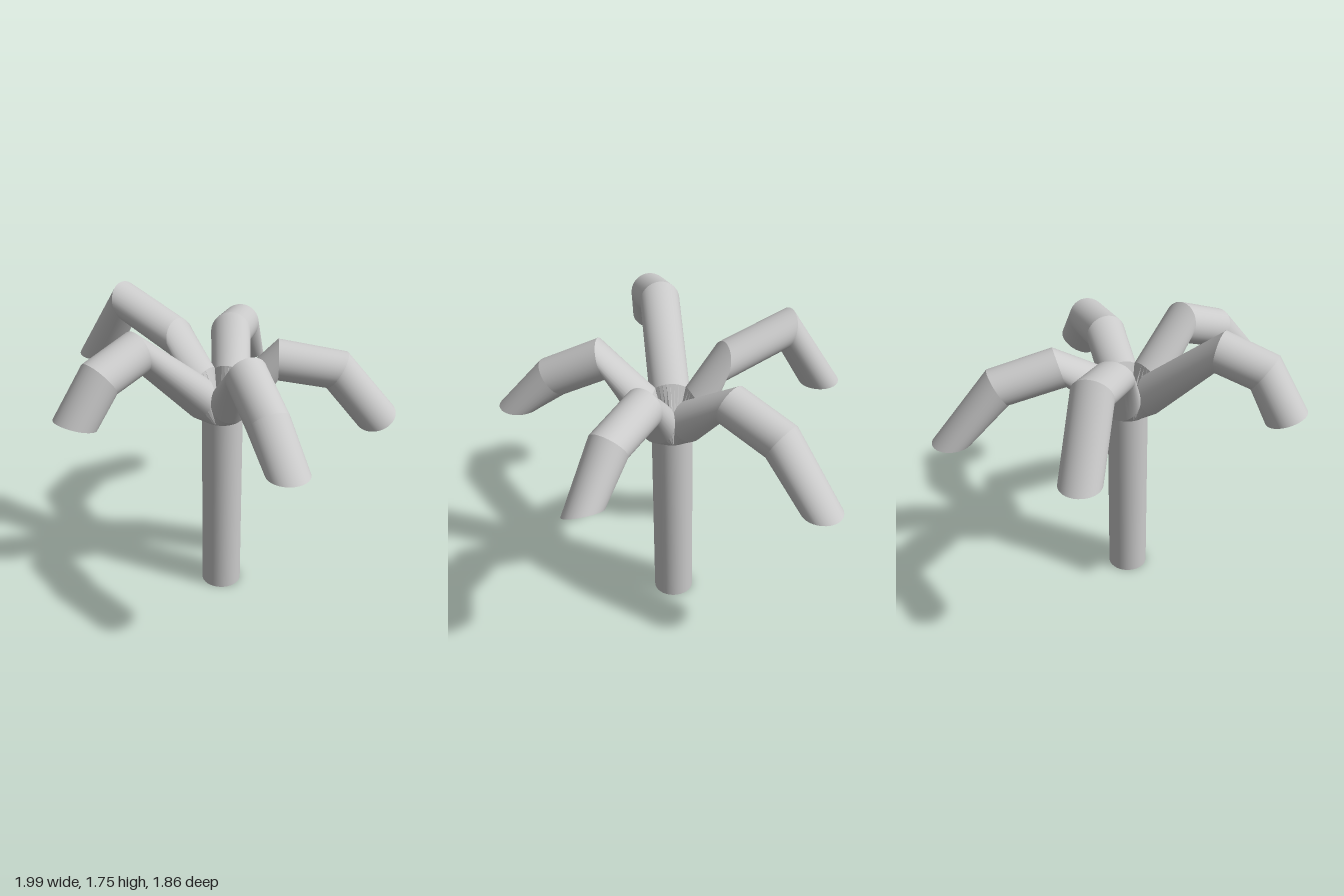
import * as THREE from 'three';

const R = 0.113, SIDES = 32, HEIGHT = 1.1, CX = 0.01, CZ = 0.09;
const material = new THREE.MeshStandardMaterial({ color: 0xcccccc });
const flatMaterial = new THREE.MeshStandardMaterial({ color: 0xcccccc, flatShading: true, side: THREE.DoubleSide });

// Circle of radius R: centre, tilt (outward, upward) in the branch plane, sideways slope
function ring(azimuth, [x, y, z, out, rise, slope = 0]) {
  const ox = Math.cos(azimuth), oz = Math.sin(azimuth);
  const up = new THREE.Vector3(ox * out, rise, oz * out).normalize();
  const side = new THREE.Vector3(-oz, slope, ox);
  side.addScaledVector(up, -side.dot(up)).normalize();
  return Array.from({ length: SIDES }, (_, i) => {
    const t = (i / SIDES) * Math.PI * 2;
    return new THREE.Vector3(x, y, z)
      .addScaledVector(up, R * Math.cos(t))
      .addScaledVector(side, R * Math.sin(t));
  });
}

// Pie slice of the trunk top, ordered to match a ring
function slice(azimuth) {
  return Array.from({ length: SIDES }, (_, i) => {
    const t = (i / SIDES) * Math.PI * 2, s = Math.sin(t);
    const lower = Math.cos(t) < 0;
    const a = azimuth + (Math.PI / 5) * (lower ? s : Math.sign(s));
    const r = lower ? R : R * Math.abs(s);
    return new THREE.Vector3(CX + r * Math.cos(a), HEIGHT, CZ + r * Math.sin(a));
  });
}

// Skin between two loops of points
function bridge(a, b, mat, name) {
  const index = [];
  for (let i = 0; i < SIDES; i++) {
    const j = (i + 1) % SIDES;
    index.push(i, j, SIDES + i, j, SIDES + j, SIDES + i);
  }
  const g = new THREE.BufferGeometry().setFromPoints([...a, ...b]);
  g.setIndex(index);
  g.computeVertexNormals();
  const mesh = new THREE.Mesh(g, mat);
  mesh.name = name;
  return mesh;
}

// Flat disc closing the end of a branch
function endCap(loop) {
  const index = [];
  for (let i = 1; i < SIDES - 1; i++) index.push(0, i, i + 1);
  const g = new THREE.BufferGeometry().setFromPoints(loop);
  g.setIndex(index);
  g.computeVertexNormals();
  const mesh = new THREE.Mesh(g, material);
  mesh.name = 'branchEnd';
  return mesh;
}

// Each branch: azimuth of its base, azimuth further out, then its rings
const branches = [
  { name: 'backBranch', base: -90, aim: -90, rings: [
    [0.005, 1.49, -0.2, 0.05, 0.2], [0.005, 1.615, -0.585, 0.07, 0.21], [0.005, 1.24, -0.815, 1, 0]] },
  { name: 'leftBranch', base: -18, aim: -28, rings: [
    [0.34, 1.44, -0.1, 0.03, 0.11], [0.64, 1.355, -0.25, 0.055, 0.1], [0.88, 1.045, -0.375, 1, -0.03]] },
  { name: 'frontLeftBranch', base: 54, aim: 54, rings: [
    [0.2, 1.44, 0.32, 0, 1], [0.385, 1.385, 0.58, 0.06, 0.1], [0.51, 1.115, 0.77, 1, 0.33, -0.44]] },
  { name: 'frontRightBranch', base: 126, aim: 120, rings: [
    [-0.21, 1.53, 0.4, 0.03, 0.11], [-0.355, 1.395, 0.64, 0.07, 0.09], [-0.44, 1.21, 0.82, 1, 0]] },
  { name: 'rightBranch', base: 198, aim: 189, rings: [
    [-0.52, 1.64, -0.055, 0.02, 0.22], [-0.76, 1.575, -0.09, 0.115, 0.175], [-0.895, 1.36, -0.145, 0.105, 0.04]] },
];

export function createModel() {
  const model = new THREE.Group();
  model.name = 'branchingStand';

  const trunk = new THREE.Mesh(new THREE.CylinderGeometry(R, R, HEIGHT, SIDES), material);
  trunk.name = 'trunk';
  trunk.position.set(CX, HEIGHT / 2, CZ);
  model.add(trunk);

  for (const { name, base, aim, rings } of branches) {
    const branch = new THREE.Group();
    branch.name = name;
    const a0 = THREE.MathUtils.degToRad(base), a1 = THREE.MathUtils.degToRad(aim);
    // Base ring leans inward; neighbouring base rings just touch
    const root = ring(a0, [CX + 0.15 * Math.cos(a0), 1.26, CZ + 0.15 * Math.sin(a0), -0.05, 0.1]);
    const loops = [root, ...rings.map((r) => ring(a1, r))];
    branch.add(bridge(slice(a0), root, flatMaterial, 'branchRoot'));
    for (let i = 0; i + 1 < loops.length; i++) {
      branch.add(bridge(loops[i], loops[i + 1], material, 'branchSegment'));
    }
    branch.add(endCap(loops[loops.length - 1]));
    model.add(branch);
  }
  return model;
}
